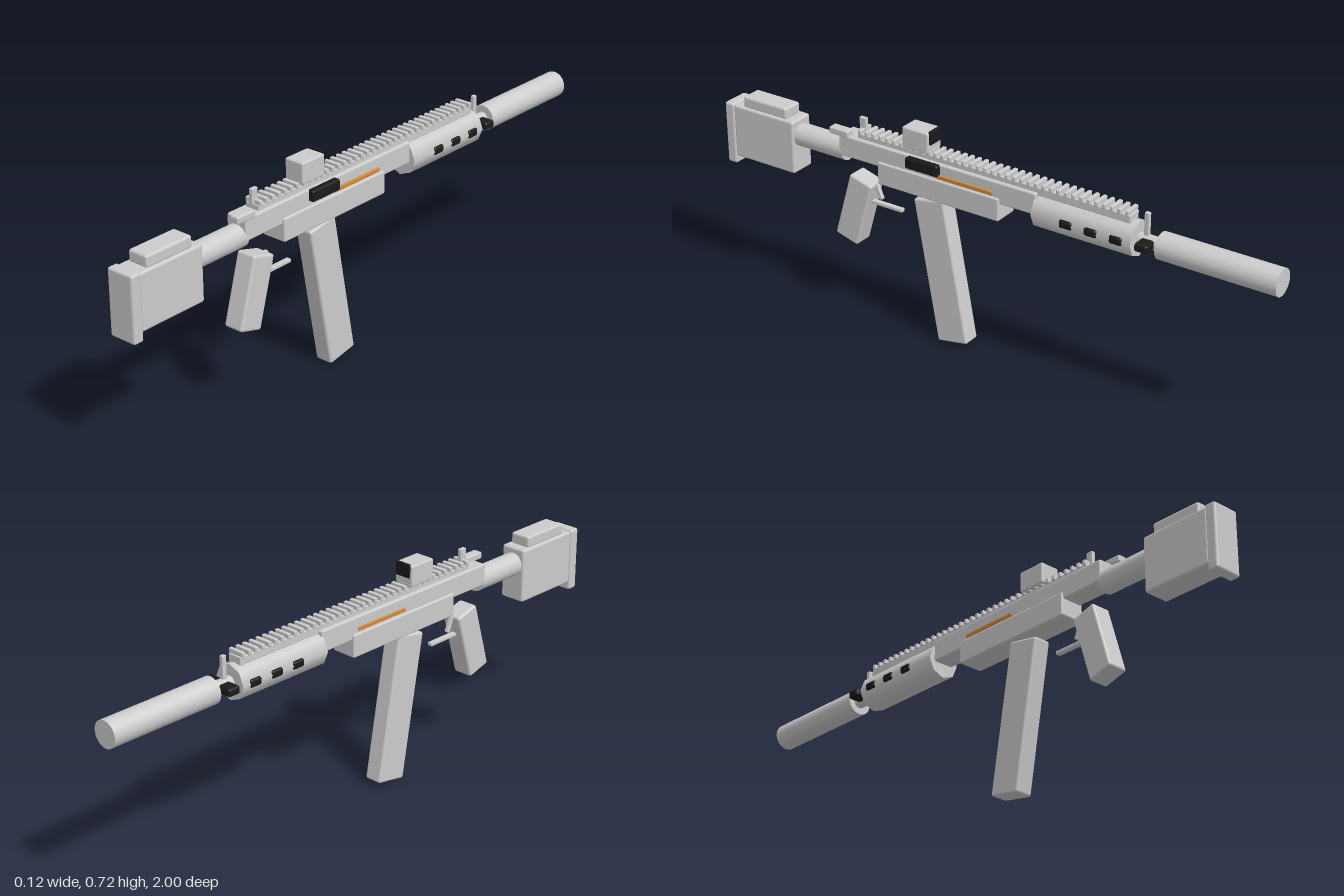
import * as THREE from 'three';
import { RoundedBoxGeometry } from 'three/addons/geometries/RoundedBoxGeometry.js';

export function createModel() {
  const model = new THREE.Group();
  const material = (name, color) => {
    const m = new THREE.MeshStandardMaterial({ color });
    m.name = name;
    return m;
  };
  const grey = material('light grey', 0xcccccc);
  const black = material('black', 0x1a1a1a);
  const orange = material('orange', 0xd58a35);

  // Box with softened edges, given by its extents on each axis
  const block = (name, mat, [x0, x1], [y0, y1], [z0, z1], bevel = 0.006, tilt = 0) => {
    const size = [x1 - x0, y1 - y0, z1 - z0];
    const r = Math.min(bevel, Math.min(...size) * 0.3);
    const mesh = new THREE.Mesh(new RoundedBoxGeometry(...size, 2, r), mat);
    mesh.name = name;
    mesh.position.set((x0 + x1) / 2, (y0 + y1) / 2, (z0 + z1) / 2);
    mesh.rotation.x = tilt;
    model.add(mesh);
    return mesh;
  };
  const wide = (half) => [-half, half];

  // Cylinder lying along z on the bore line
  const AXIS = 0.57;
  const tube = (name, radius, z0, z1, sides = 32) => {
    const geometry = new THREE.CylinderGeometry(radius, radius, z1 - z0, sides);
    geometry.rotateX(Math.PI / 2);
    const mesh = new THREE.Mesh(geometry, grey);
    mesh.name = name;
    mesh.position.set(0, AXIS, (z0 + z1) / 2);
    model.add(mesh);
  };

  // Shoulder stock
  block('buttPad', grey, wide(0.048), [0.417, 0.63], [0.963, 1], 0.008);
  block('stock', grey, wide(0.045), [0.444, 0.626], [0.722, 0.966], 0.008);
  block('cheekRest', grey, wide(0.036), [0.622, 0.662], [0.754, 0.93], 0.008);
  tube('stockTube', 0.038, 0.53, 0.73);

  // Receiver
  block('upperReceiver', grey, wide(0.037), [0.56, 0.632], [-0.196, 0.542]);
  block('lowerReceiver', grey, wide(0.044), [0.503, 0.58], [-0.067, 0.387]);
  block('chargingHandle', grey, [0.008, 0.041], [0.627, 0.651], [0.503, 0.577]);
  block('sidePlate', black, [0.03, 0.055], [0.594, 0.631], [0.152, 0.273]);
  block('sideStripe', orange, [-0.04, 0.043], [0.585, 0.598], [-0.043, 0.165], 0.003);

  // Grip, magazine, trigger and guard bar
  block('grip', grey, wide(0.035), [0.26, 0.494], [0.451, 0.539], 0.008, -0.28);
  block('magazine', grey, wide(0.031), [0.0085, 0.4985], [0.1035, 0.2165], 0.008, 0.18);
  block('trigger', grey, wide(0.007), [0.425, 0.48], [0.408, 0.422], 0.003, 0.4);
  block('guardBar', grey, wide(0.009), [0.405, 0.417], [0.322, 0.444], 0.003);

  // Octagonal handguard, barrel and muzzle tube
  tube('handguard', 0.0575, -0.535, -0.192, 8);
  tube('barrel', 0.021, -0.62, -0.52, 20);
  tube('muzzleTube', 0.043, -1, -0.608);

  // Dark vents through the handguard, and the matching barrel collar
  for (let i = 0; i < 4; i++) {
    const z = -0.313 - i * 0.086;
    block(i < 3 ? 'vent' : 'barrelCollar', black, wide(0.06), [0.558, 0.584], [z - 0.022, z + 0.022], 0.007);
  }

  // Toothed top rail
  block('railBase', grey, wide(0.025), [0.622, 0.648], [-0.515, 0.475], 0.003);
  const teeth = 38;
  for (let i = 0; i < teeth; i++) {
    const z = 0.466 - (i / (teeth - 1)) * 0.97;
    block('railTooth', grey, wide(0.029), [0.645, 0.662], [z - 0.0065, z + 0.0065], 0.003);
  }

  // Sights
  block('rearSight', grey, wide(0.007), [0.645, 0.696], [0.456, 0.481], 0.003);
  block('frontSight', grey, wide(0.007), [0.585, 0.663], [-0.567, -0.551], 0.003);
  block('optic', grey, wide(0.035), [0.652, 0.722], [0.198, 0.296]);
  block('opticLens', black, wide(0.027), [0.682, 0.727], [0.191, 0.2], 0.002);

  return model;
}
